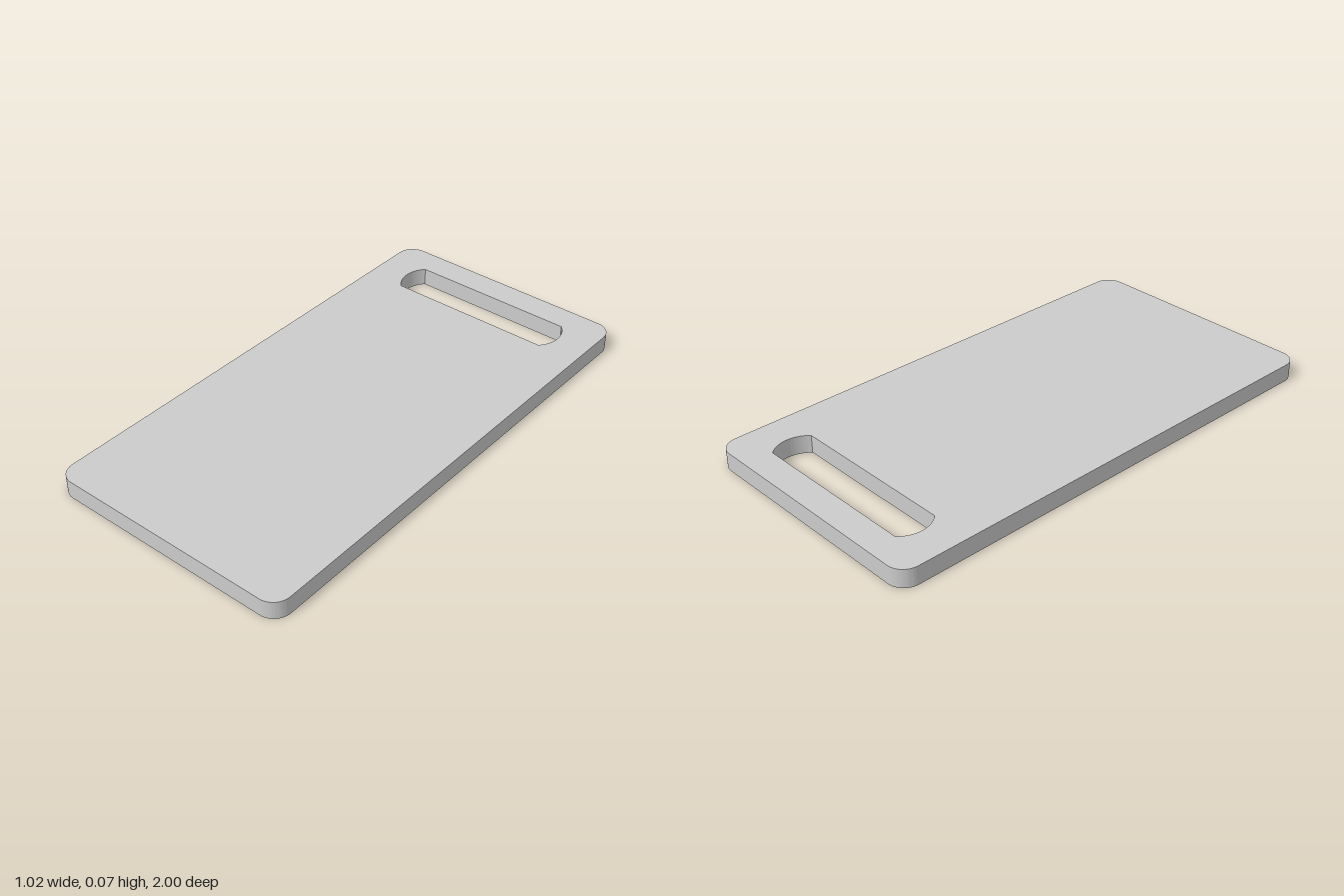
import * as THREE from 'three';
import { toCreasedNormals } from 'three/addons/utils/BufferGeometryUtils.js';

const W = 0.51, L = 1, R = 0.07, THICKNESS = 0.073;

// Rounded rectangular outline, drawn in plan (shape y = -z)
function boardOutline() {
  const shape = new THREE.Shape();
  const x = W - R, y = L - R, q = Math.PI / 2;
  shape.absarc(x, y, R, 0, q);
  shape.absarc(-x, y, R, q, 2 * q);
  shape.absarc(-x, -y, R, 2 * q, 3 * q);
  shape.absarc(x, -y, R, 3 * q, 4 * q);
  shape.closePath();
  return shape;
}

// Grip slot with straight sides and shallow bowed ends
function gripSlot() {
  const endX = 0.375, midY = 0.803, halfHeight = 0.083, r = 0.116;
  const a = Math.asin(halfHeight / r);
  const slot = new THREE.Path();
  slot.absarc(endX - r, midY, r, -a, a);
  slot.absarc(r - endX, midY, r, Math.PI - a, Math.PI + a);
  slot.closePath();
  return slot;
}

export function createModel() {
  const group = new THREE.Group();
  group.name = 'cuttingBoard';

  const outline = boardOutline();
  outline.holes.push(gripSlot());
  const extruded = new THREE.ExtrudeGeometry(outline, {
    depth: THICKNESS, bevelEnabled: false, curveSegments: 16,
  });
  extruded.rotateX(-Math.PI / 2); // lay flat, slot towards the back

  const board = new THREE.Mesh(
    toCreasedNormals(extruded, 0.5),
    new THREE.MeshStandardMaterial({ color: 0xcccccc }),
  );
  board.name = 'board';
  group.add(board);
  return group;
}
